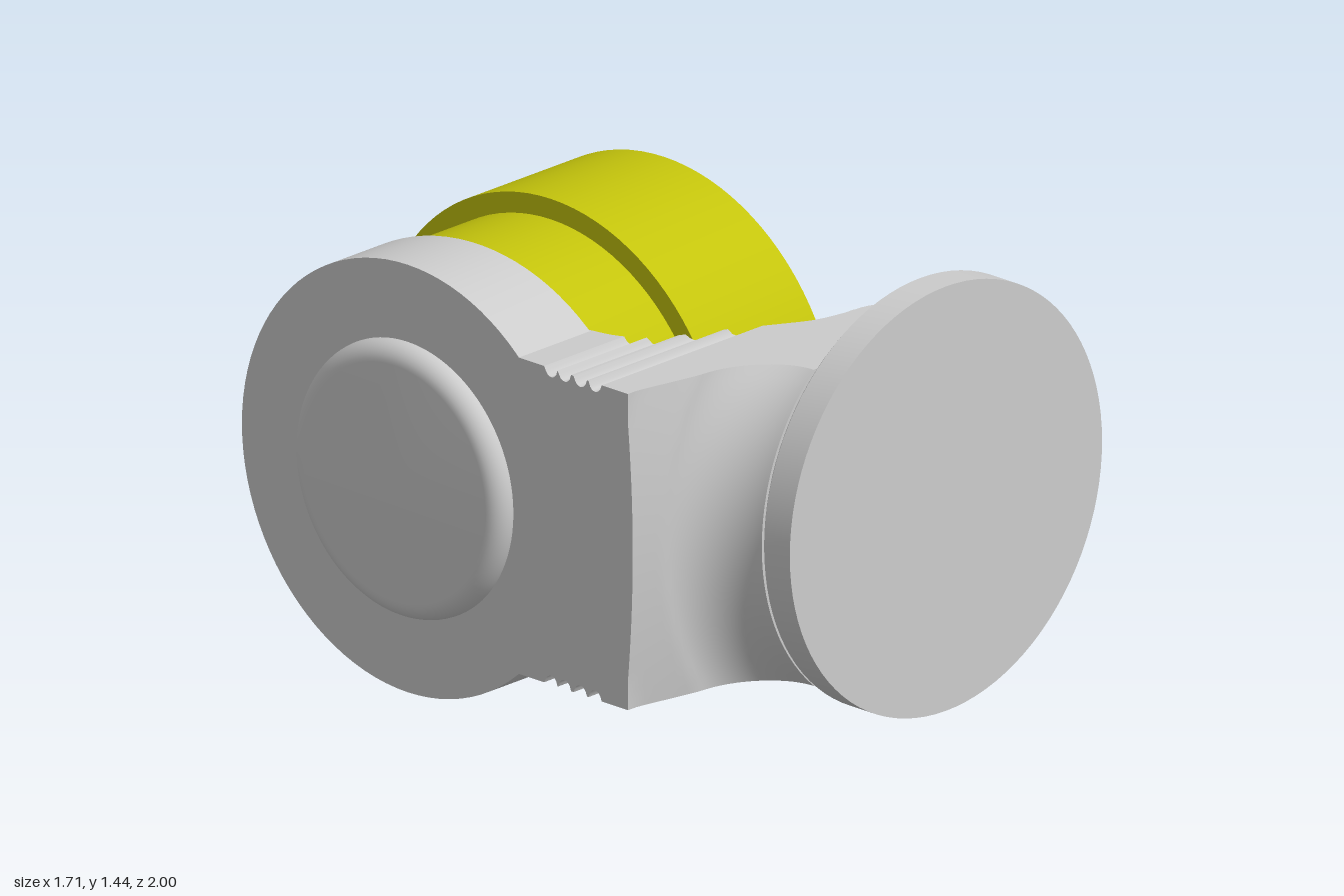
import * as THREE from 'three';
import { toCreasedNormals } from 'three/addons/utils/BufferGeometryUtils.js';

const CY = 0.722;       // shared axis height
const ROLLER_Z = -0.28; // roller axis
const DISC_X = 0.18;    // front disc axis

const grey = new THREE.MeshStandardMaterial({ color: 0xcccccc });
const yellow = new THREE.MeshStandardMaterial({ color: 0xc4c40c });

export function createModel() {
  const group = new THREE.Group();

  const add = (name, geometry, material, x, y, z) => {
    const mesh = new THREE.Mesh(toCreasedNormals(geometry, 0.6), material);
    mesh.name = name;
    mesh.position.set(x, y, z);
    group.add(mesh);
  };

  // Turned solid; profile is [radius, position along axis]
  const turned = (profile) =>
    new THREE.LatheGeometry(profile.map(([r, a]) => new THREE.Vector2(r, a)), 96);
  const alongX = (profile) => turned(profile).rotateZ(-Math.PI / 2);
  const alongZ = (profile) => turned(profile).rotateX(Math.PI / 2);

  // Move every vertex by a rule
  const reshape = (geometry, rule) => {
    const p = geometry.attributes.position;
    const v = new THREE.Vector3();
    for (let i = 0; i < p.count; i++) {
      rule(v.fromBufferAttribute(p, i));
      p.setXYZ(i, v.x, v.y, v.z);
    }
    return geometry;
  };

  // Stepped roller with a deep bore
  add('roller', alongX([
    [0, -0.6], [0.655, -0.6], [0.655, -0.18], [0.72, -0.18],
    [0.72, 0.31], [0.44, 0.31], [0.44, -0.45], [0, -0.45],
  ]), yellow, 0, CY, ROLLER_Z);

  // Round holder behind the roller, its inner face slanted
  const holder = alongX([[0, -0.8], [0.68, -0.8], [0.68, -0.5], [0, -0.5]]);
  reshape(holder, (v) => { if (v.x > -0.7) v.x = -0.53 + 0.08 * v.z; });
  add('rollerHolder', holder, grey, 0, CY, ROLLER_Z);

  // Raised cap with a rounded rim
  const cap = [[0, -0.858], [0.375, -0.858]];
  for (let i = 1; i <= 8; i++) {
    const a = (i / 8) * Math.PI / 2;
    cap.push([0.375 + 0.06 * Math.sin(a), -0.798 - 0.06 * Math.cos(a)]);
  }
  add('sideCap', alongX(cap), grey, 0, CY, ROLLER_Z);

  // Front disc and the boss behind it
  add('frontDisc', alongZ([[0, 0.885], [0.665, 0.885], [0.675, 0.895], [0.675, 1], [0, 1]]),
    grey, DISC_X, CY, 0);
  add('discBoss', alongZ([[0, 0.62], [0.502, 0.62], [0.502, 0.9], [0, 0.9]]),
    grey, DISC_X, CY, 0);

  // Neck: rectangular sections along z, with grip grooves above and below
  const slope = new THREE.SplineCurve([
    [-0.51, 0], [-0.49, 0.14], [-0.46, 0.27], [-0.38, 0.365], [-0.22, 0.45],
    [-0.05, 0.55], [0.05, 0.6], [0.18, 0.625],
  ].map(([x, z]) => new THREE.Vector2(x, z)));
  const grooves = [0.31, 0.365, 0.43, 0.49];
  const sections = slope.getPoints(110).map(({ x, y: z }) => {
    let h = 0.503;
    for (const g of grooves) {
      h -= 0.028 * Math.sqrt(Math.max(0, 1 - ((z - g) / 0.025) ** 2));
    }
    return [[-0.8, -h, z], [x, -h, z], [x, h, z], [-0.8, h, z]];
  });
  const last = sections.length - 1;
  const index = [0, 2, 1, 0, 3, 2];
  for (let s = 0; s < last; s++) {
    for (let k = 0; k < 4; k++) {
      const a = s * 4 + k, b = s * 4 + (k + 1) % 4;
      index.push(a, b, b + 4, a, b + 4, a + 4);
    }
  }
  const e = last * 4;
  index.push(e, e + 1, e + 2, e, e + 2, e + 3);
  const neck = new THREE.BufferGeometry();
  neck.setAttribute('position', new THREE.Float32BufferAttribute(sections.flat(2), 3));
  neck.setIndex(index);
  add('grippedNeck', neck, grey, 0, CY, 0);

  // Front shoulder: a block whose front sweeps up to the disc in a round fillet
  const filletZ = (r) => {
    const u = Math.min(1, Math.max(0, (r - 0.675) / 0.2));
    const z = 0.885 - 0.215 * Math.sqrt(1 - (1 - u) ** 2);
    return Math.max(0.625, z - 0.24 * Math.max(0, r - 0.875));
  };
  const shoulder = new THREE.BoxGeometry(1, 1.006, 1, 30, 32, 1);
  reshape(shoulder, (v) => {
    const t = v.x + 0.5;
    const edge = DISC_X - Math.sqrt(0.675 ** 2 - v.y ** 2);
    // Columns crowd towards the disc edge, then one flat strip runs under it
    const split = 29 / 30;
    v.x = t > split + 0.001
      ? DISC_X
      : edge - (edge + 0.8) * (1 - t / split) ** 2;
    v.z = v.z > 0 ? filletZ(t > split - 0.001 ? 0 : Math.hypot(v.x - DISC_X, v.y)) : 0.62;
  });
  add('frontShoulder', shoulder, grey, 0, CY, 0);

  return group;
}
